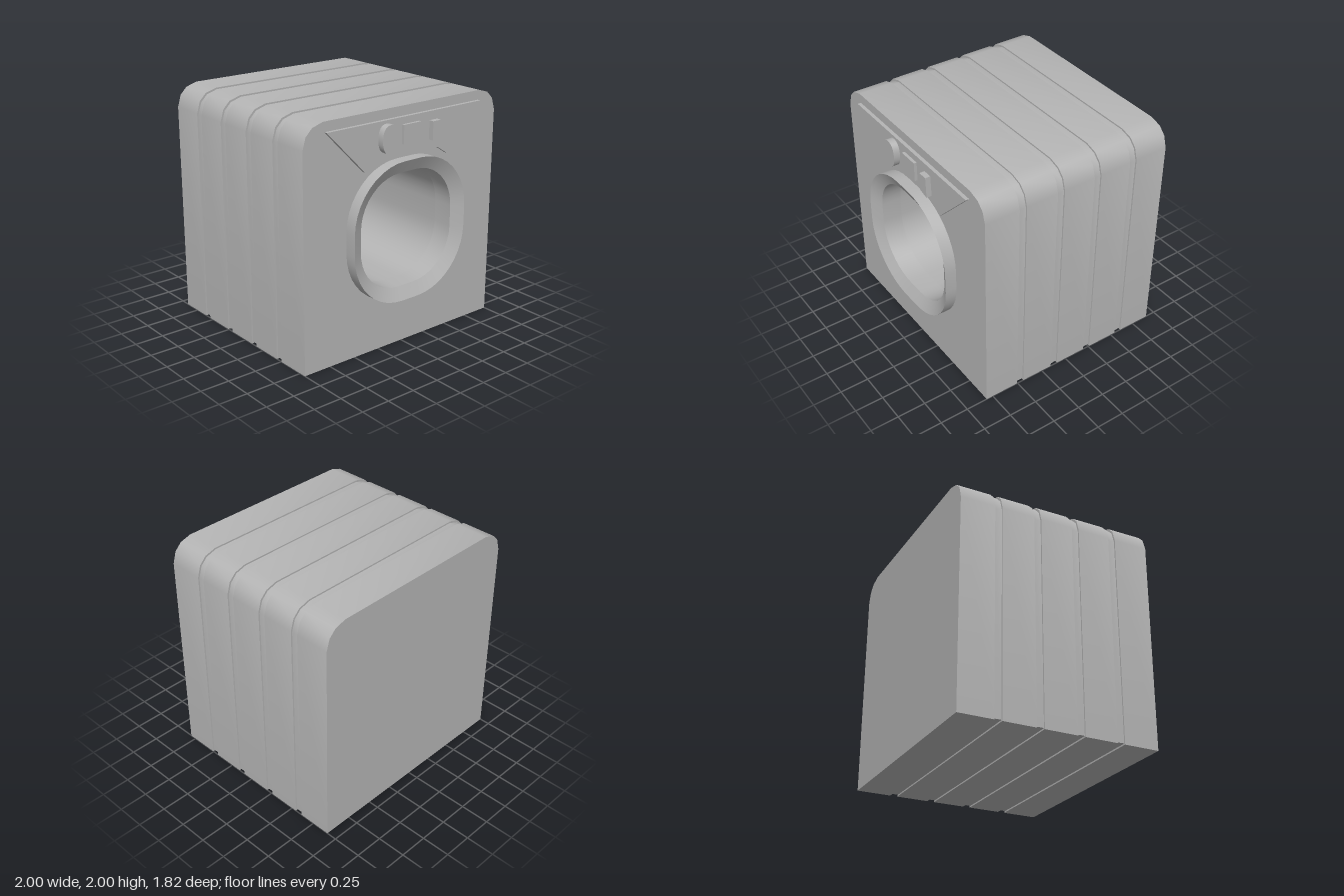
import * as THREE from 'three';
import { toCreasedNormals } from 'three/addons/utils/BufferGeometryUtils.js';

const grey = new THREE.MeshStandardMaterial({ color: 0xb4b4b4 });
grey.name = 'grey';

const V = (x, y) => new THREE.Vector2(x, y);

function add(group, name, geometry, z = 0) {
  const mesh = new THREE.Mesh(geometry, grey);
  mesh.name = name;
  mesh.position.z = z;
  group.add(mesh);
  return mesh;
}

// Skin between matching closed outlines, each given as { pts, z }
function loft(rings) {
  const pos = [];
  for (let i = 0; i + 1 < rings.length; i++) {
    const p = rings[i], q = rings[i + 1], n = p.pts.length;
    for (let j = 0; j < n; j++) {
      const k = (j + 1) % n;
      const at = (r, m) => [r.pts[m].x, r.pts[m].y, r.z];
      const a = at(p, j), b = at(p, k), c = at(q, j), d = at(q, k);
      pos.push(...a, ...c, ...b, ...b, ...c, ...d);
    }
  }
  const g = new THREE.BufferGeometry();
  g.setAttribute('position', new THREE.Float32BufferAttribute(pos, 3));
  return toCreasedNormals(g, 0.61);
}

// Cabinet outline with rounded top corners, drawn in by an inset
function cabinetOutline(inset) {
  const right = [V(1, 0), V(1, 1.81), V(0.97, 1.91), V(0.91, 1.97), V(0.81, 2)];
  const all = [...right, ...right.map(p => V(-p.x, p.y)).reverse()];
  const s = 1 - inset;
  return all.map(p => V(p.x * s, 1 + (p.y - 1) * s));
}

// Nearly round door outline with short flats on all four sides
function doorOutline(half) {
  const flat = 0.085, r = half - flat, pts = [];
  for (let q = 0; q < 4; q++) {
    const mid = (q + 0.5) * Math.PI / 2;
    const cx = Math.sign(Math.cos(mid)) * flat, cy = Math.sign(Math.sin(mid)) * flat;
    for (let i = 0; i <= 10; i++) {
      const a = (q + i / 10) * Math.PI / 2;
      pts.push(V(cx + r * Math.cos(a), 1 + cy + r * Math.sin(a)));
    }
  }
  return pts;
}

function plate(points, depth) {
  return new THREE.ExtrudeGeometry(new THREE.Shape(points), { depth, bevelEnabled: false });
}

export function createModel() {
  const model = new THREE.Group();
  model.name = 'washingMachine';
  const front = 0.81, back = -0.91;
  const full = cabinetOutline(0), inset = cabinetOutline(0.013);

  // Cabinet shell with four shallow grooves running all the way round
  const rings = [{ pts: full, z: front }];
  for (const z of [0.505, 0.155, -0.195, -0.545]) {
    rings.push({ pts: full, z }, { pts: inset, z },
      { pts: inset, z: z - 0.065 }, { pts: full, z: z - 0.065 });
  }
  rings.push({ pts: full, z: back });
  add(model, 'cabinetShell', loft(rings));

  // Front wall with the drum opening, and the back wall
  const frontShape = new THREE.Shape(full);
  frontShape.holes.push(new THREE.Path(doorOutline(0.48)));
  add(model, 'frontWall', new THREE.ShapeGeometry(frontShape), front);
  const backWall = add(model, 'backWall', new THREE.ShapeGeometry(new THREE.Shape(full)), back);
  backWall.rotation.y = Math.PI;

  // Door rim with a sloping inner face, running into the deep drum
  const inner = doorOutline(0.48), outer = doorOutline(0.587);
  add(model, 'doorRim', loft([
    { pts: inner, z: 0.68 }, { pts: inner, z: 0.855 },
    { pts: outer, z: 0.91 }, { pts: outer, z: front },
  ]));
  add(model, 'drumWall', loft([{ pts: inner, z: -0.8 }, { pts: inner, z: 0.68 }]));
  add(model, 'drumBack', new THREE.ShapeGeometry(new THREE.Shape(inner)), -0.8);

  // Control panel, its lower edge following the door rim
  add(model, 'controlPanel', plate([
    V(-0.8, 1.92), V(-0.43, 1.545), V(-0.33, 1.61), V(-0.1, 1.675),
    V(0.1, 1.675), V(0.33, 1.61), V(0.43, 1.545), V(0.8, 1.92),
  ], 0.03), front);

  // Controls
  const panelFace = 0.84;
  const knob = [];
  for (let i = 0; i < 24; i++) {
    const a = i / 24 * Math.PI * 2, c = Math.cos(a), s = Math.sin(a);
    knob.push(V(-0.22 + 0.082 * Math.sign(c) * Math.abs(c) ** 0.85,
      1.78 + 0.115 * Math.sign(s) * Math.abs(s) ** 0.85));
  }
  const knobSide = loft([{ pts: knob, z: 0.055 }, { pts: knob, z: 0 }]);
  add(model, 'knobSide', knobSide, panelFace);
  add(model, 'knobFace', new THREE.ShapeGeometry(new THREE.Shape(knob)), panelFace + 0.055);
  add(model, 'display', plate([
    V(-0.06, 1.705), V(0.08, 1.705), V(0.117, 1.695), V(0.117, 1.862), V(-0.06, 1.862),
  ], 0.025), panelFace);
  add(model, 'button', plate([
    V(0.23, 1.69), V(0.32, 1.668), V(0.313, 1.847), V(0.23, 1.847),
  ], 0.045), panelFace);

  return model;
}
